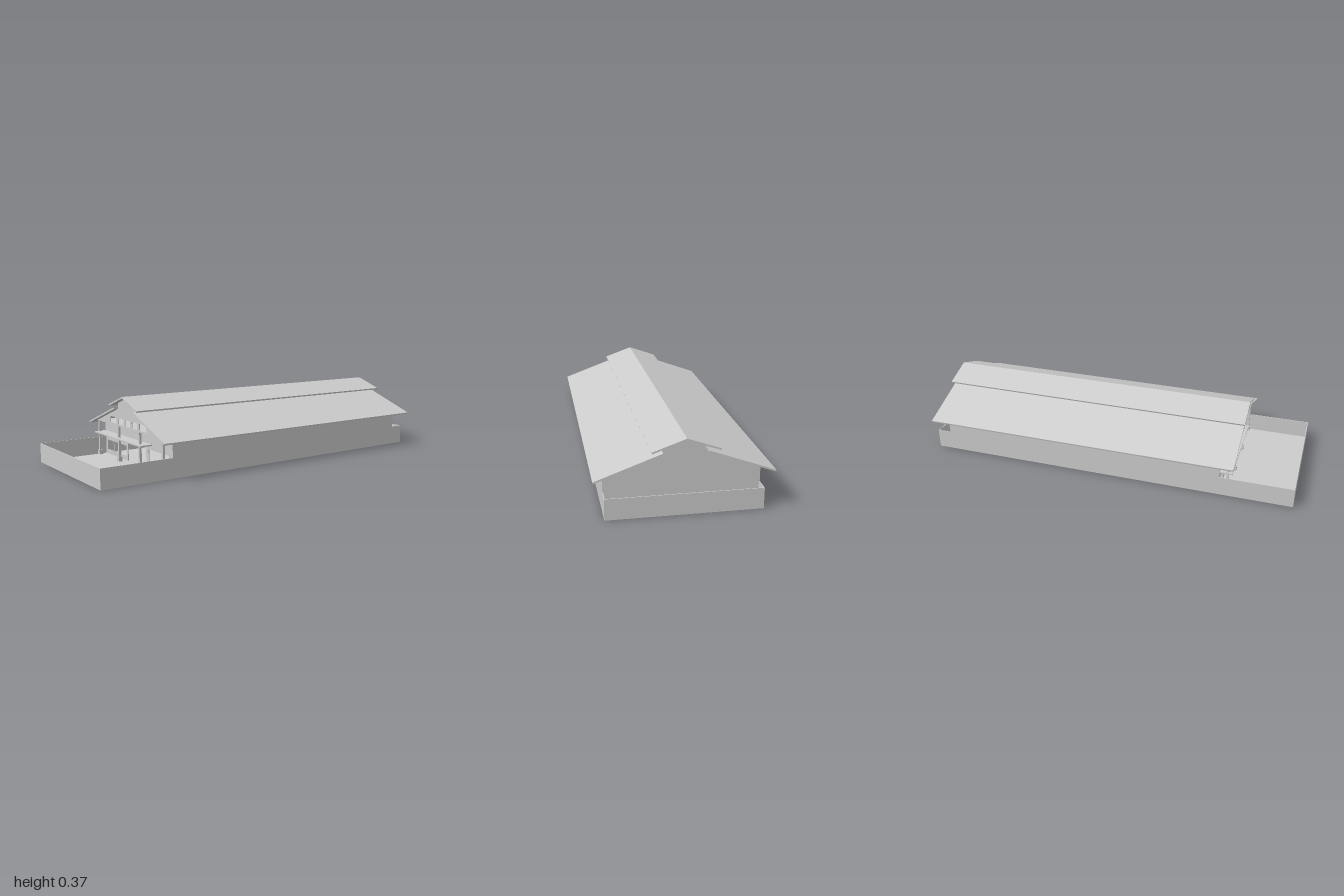
import * as THREE from 'three';

const material = new THREE.MeshStandardMaterial({ color: 0xcccccc, flatShading: true, side: THREE.DoubleSide });

export function createModel() {
  const model = new THREE.Group();
  model.name = 'longHall';

  const add = (name, geometry) => {
    const mesh = new THREE.Mesh(geometry, material);
    mesh.name = name;
    model.add(mesh);
    return mesh;
  };
  // Box given by its limits on each axis
  const box = (name, x0, x1, y0, y1, z0, z1) => {
    const mesh = add(name, new THREE.BoxGeometry(x1 - x0, y1 - y0, z1 - z0));
    mesh.position.set((x0 + x1) / 2, (y0 + y1) / 2, (z0 + z1) / 2);
    return mesh;
  };
  // Upright outline extruded from z0 to z1, with rectangular openings [x0, x1, y0, y1]
  const slab = (name, points, z0, z1, openings = []) => {
    const shape = new THREE.Shape(points.map(([x, y]) => new THREE.Vector2(x, y)));
    for (const [x0, x1, y0, y1] of openings) {
      shape.holes.push(new THREE.Path([
        new THREE.Vector2(x0, y0), new THREE.Vector2(x0, y1),
        new THREE.Vector2(x1, y1), new THREE.Vector2(x1, y0),
      ]));
    }
    const mesh = add(name, new THREE.ExtrudeGeometry(shape, { depth: z1 - z0, bevelEnabled: false }));
    mesh.position.z = z0;
    return mesh;
  };

  const W = 0.364, T = 0.004;          // half width, wall thickness
  const FRONT = 0.62, GABLE = 0.67, BACK = -0.915;

  // Base: floor slab with a thin parapet at both ends
  box('floor', -W, W, 0, 0.006, -0.99, 1);
  box('frontParapet', -W, W, 0, 0.102, 1 - T, 1);
  box('backParapet', -W, W, 0, 0.102, -0.99, -0.99 + T);

  // Side walls: low parapet rising to full height along the hall
  for (const side of [-1, 1]) {
    const wall = slab('sideWall', [
      [-1, 0], [0.99, 0], [0.99, 0.102], [-BACK, 0.102],
      [-BACK, 0.197], [-FRONT, 0.197], [-FRONT, 0.102], [-1, 0.102],
    ], 0, T);
    wall.rotation.y = Math.PI / 2;
    wall.position.x = side > 0 ? W - T : -W;
  }

  // Gable outline with the raised centre
  const gableTop = [
    [W, 0.197], [0.103, 0.291], [0.103, 0.32], [0, 0.357],
    [-0.103, 0.32], [-0.103, 0.291], [-W, 0.197],
  ];
  slab('backWall', [[-W, 0], [W, 0], ...gableTop], BACK, BACK + T);
  slab('frontGable', gableTop, GABLE - T, GABLE, [
    [-0.198, -0.126, 0.206, 0.24], [-0.104, -0.046, 0.206, 0.24],
    [-0.029, 0.028, 0.206, 0.24], [0.046, 0.103, 0.206, 0.24],
    [0.125, 0.197, 0.206, 0.24],
  ]);
  box('ceiling', -W, W, 0.197, 0.2, BACK, GABLE - T);

  // Front wall with a window band and two doorways
  slab('frontWall', [[-W, 0], [W, 0], [W, 0.197], [-W, 0.197]], FRONT - T, FRONT, [
    [-0.34, -0.115, 0.03, 0.085],
    [-0.1, 0.1, 0.007, 0.106],
    [0.127, 0.328, 0.007, 0.106],
  ]);
  for (const x of [-0.265, -0.19]) {
    box('windowMullion', x - 0.003, x + 0.003, 0.03, 0.085, FRONT - T, FRONT);
  }

  // Clerestory side walls
  for (const side of [-1, 1]) {
    const x = side * 0.101;
    box('clerestoryWall', x - 0.002, x + 0.002, 0.285, 0.32, BACK, GABLE);
  }

  // Lower roof slopes and the raised ridge roof
  for (const side of [-1, 1]) {
    slab('lowerRoof', [
      [side * 0.411, 0.179], [side * 0.103, 0.29],
      [side * 0.103, 0.3], [side * 0.413, 0.187],
    ], -0.993, 0.695);
  }
  slab('ridgeRoof', [
    [-0.153, 0.302], [0, 0.357], [0.153, 0.302],
    [0.156, 0.31], [0, 0.365], [-0.156, 0.31],
  ], -1, 0.7);

  // Porch posts on wider feet
  for (const x of [-0.35, -0.117, 0.112, 0.345]) {
    box('porchPost', x - 0.006, x + 0.006, 0, 0.197, 0.655, 0.667);
    box('postFoot', x - 0.011, x + 0.011, 0, 0.03, 0.65, 0.672);
  }

  // Canopy over the entrance
  box('canopy', -W, 0.16, 0.128, 0.135, FRONT, 0.685);

  return model;
}
